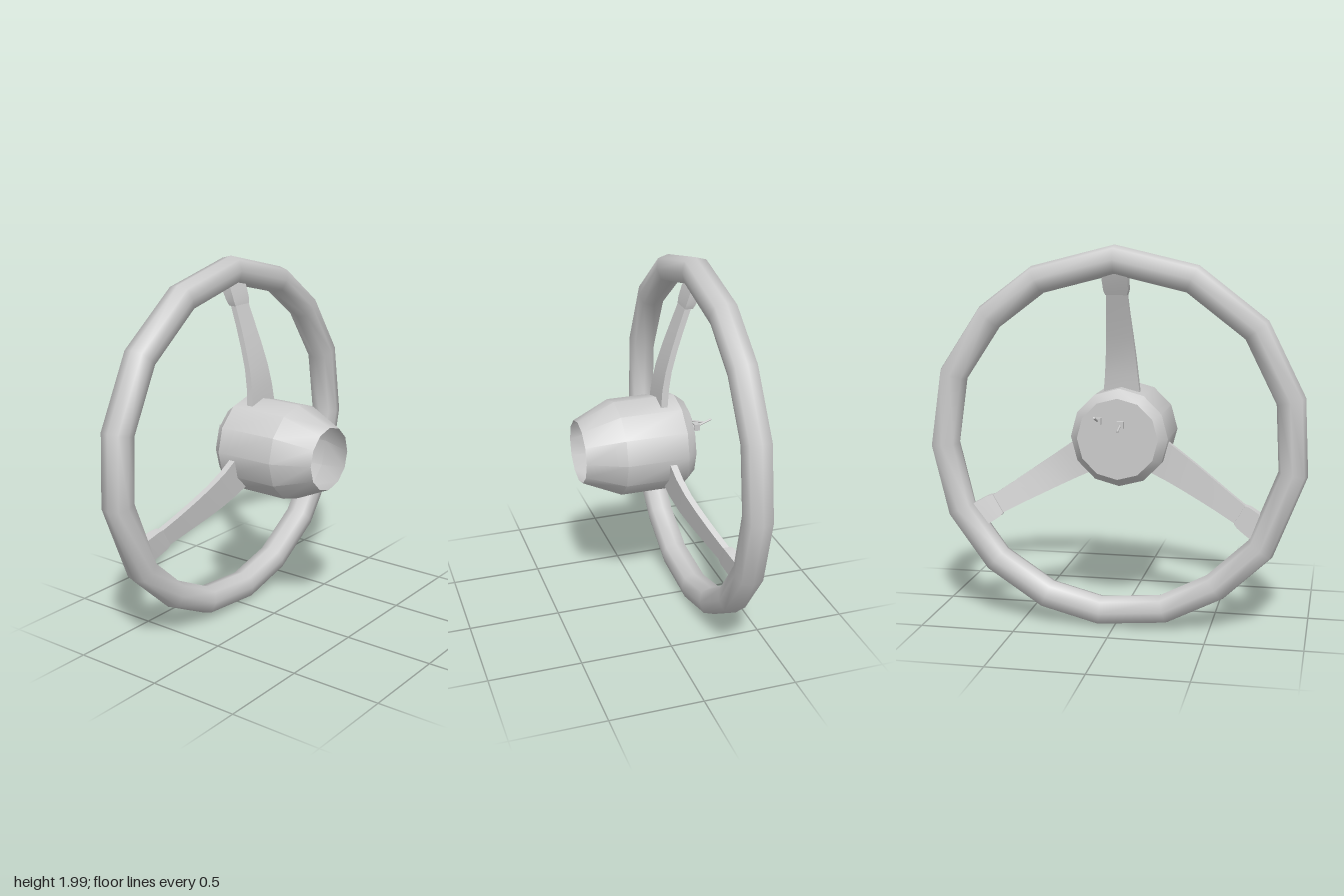
import * as THREE from 'three';
import { toCreasedNormals } from 'three/addons/utils/BufferGeometryUtils.js';

const material = new THREE.MeshStandardMaterial({ color: 0xcccccc });
const openMaterial = new THREE.MeshStandardMaterial({ color: 0xcccccc, side: THREE.DoubleSide });

function part(name, geometry, mat = material) {
  const mesh = new THREE.Mesh(geometry, mat);
  mesh.name = name;
  return mesh;
}

// Closed ring of eight-sided sections, following the uneven outer corners clockwise.
function rimGeometry() {
  const corners = [[0, 1], [0.435, 0.89], [0.715, 0.68], [0.93, 0.355], [0.99, -0.05], [0.9, -0.425],
    [0.69, -0.715], [0.395, -0.91], [0.085, -0.99], [-0.28, -0.96], [-0.57, -0.815], [-0.82, -0.58],
    [-0.99, -0.15], [-0.97, 0.25], [-0.78, 0.63], [-0.43, 0.9]];
  const sides = 8, tube = 0.075, n = corners.length;
  const positions = [], index = [];
  corners.forEach(([x, y], i) => {
    const outer = Math.hypot(x, y);
    for (let j = 0; j < sides; j++) {
      const a = (j / sides) * Math.PI * 2;
      const t = tube * (j % 2 ? 1.1 : 1);
      const r = outer - tube + Math.cos(a) * t;
      positions.push((x / outer) * r, 1 + (y / outer) * r, -0.285 + Math.sin(a) * t);
      const next = (i + 1) % n, k = (j + 1) % sides;
      const p = i * sides + j, q = i * sides + k, s = next * sides + j, u = next * sides + k;
      index.push(p, q, s, q, u, s);
    }
  });
  const geometry = new THREE.BufferGeometry();
  geometry.setAttribute('position', new THREE.Float32BufferAttribute(positions, 3));
  geometry.setIndex(index);
  geometry.computeVertexNormals();
  return geometry;
}

// Bends a segmented box through stations of [radius, z, half width, half thickness].
function barGeometry(stations) {
  const segments = stations.length - 1;
  const geometry = new THREE.BoxGeometry(2, 1, 2, 1, segments, 1);
  const p = geometry.attributes.position;
  for (let i = 0; i < p.count; i++) {
    const [r, z, w, t] = stations[Math.round((p.getY(i) + 0.5) * segments)];
    p.setXYZ(i, p.getX(i) * w, r, z + p.getZ(i) * t);
  }
  return toCreasedNormals(geometry, 0.6);
}

// Small block on the hub back with a thin tilted pin.
function stud(name, x, y, rise) {
  const group = new THREE.Group();
  group.name = name;
  const neck = part('studNeck', new THREE.CylinderGeometry(0.012, 0.012, 0.04, 8));
  neck.rotation.x = Math.PI / 2;
  neck.position.z = -0.015;
  const block = part('studBlock', new THREE.BoxGeometry(0.036, 0.036, 0.03));
  block.position.z = -0.04;
  const direction = new THREE.Vector3(0, rise, -0.085);
  const pin = part('studPin', new THREE.CylinderGeometry(0.006, 0.006, direction.length(), 6));
  pin.position.set(0, rise / 2, -0.04 - 0.0425);
  pin.quaternion.setFromUnitVectors(new THREE.Vector3(0, 1, 0), direction.clone().normalize());
  group.add(neck, block, pin);
  group.position.set(x, y, -0.23);
  return group;
}

export function createModel() {
  const model = new THREE.Group();
  model.name = 'steeringWheel';
  model.add(part('rim', rimGeometry()));

  // Hollow hub: closed back, chamfer, straight barrel, tapered open front
  const profile = [[0, -0.23], [0.215, -0.23], [0.26, -0.175], [0.26, 0.16], [0.17, 0.36]]
    .map(([r, z]) => new THREE.Vector2(r, z));
  const hubGeometry = new THREE.LatheGeometry(profile, 12);
  hubGeometry.rotateX(Math.PI / 2);
  const hub = part('hub', toCreasedNormals(hubGeometry, 0.55), openMaterial);
  hub.position.y = 0.995;
  model.add(hub);

  // Three curved spokes with a thicker pad where each meets the rim
  ['topSpoke', 'leftSpoke', 'rightSpoke'].forEach((name, i) => {
    const spoke = new THREE.Group();
    spoke.name = name;
    spoke.add(part('spokeArm', barGeometry([
      [0.22, -0.088, 0.097, 0.018], [0.32, -0.098, 0.087, 0.018], [0.42, -0.117, 0.079, 0.017],
      [0.53, -0.15, 0.07, 0.017], [0.64, -0.188, 0.061, 0.017], [0.76, -0.232, 0.054, 0.017]])));
    spoke.add(part('spokePad', barGeometry([
      [0.745, -0.232, 0.056, 0.022], [0.77, -0.24, 0.064, 0.026],
      [0.83, -0.263, 0.067, 0.03], [0.87, -0.278, 0.067, 0.03]])));
    spoke.position.y = 1;
    spoke.rotation.z = -i * Math.PI * 2 / 3;
    model.add(spoke);
  });

  // Two pins on the back of the hub
  model.add(stud('leftStud', 0.095, 1.095, 0.032), stud('rightStud', -0.025, 1.08, -0.023));
  return model;
}
